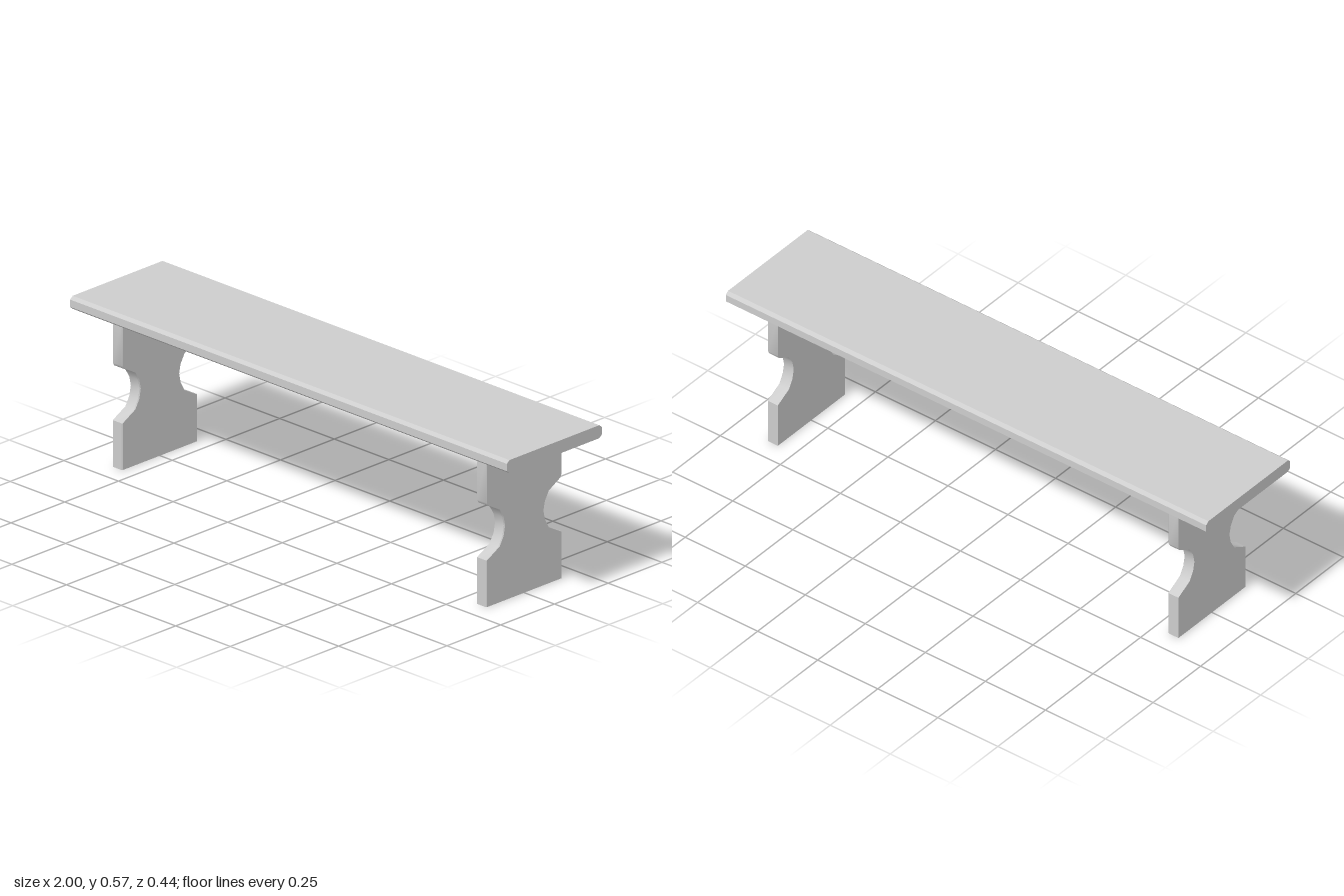
import * as THREE from 'three';
import { toCreasedNormals } from 'three/addons/utils/BufferGeometryUtils.js';

const SEAT_BOTTOM = 0.524, SEAT_TOP = 0.57;

// Extrudes a half outline (z, y; bottom to top), mirrored in z, along x.
function extrudeAlongX(half, x0, x1, steps = 1) {
  const mirrored = half.map(([z, y]) => [-z, y]).reverse();
  const shape = new THREE.Shape([...half, ...mirrored].map(([z, y]) => new THREE.Vector2(z, y)));
  const geometry = new THREE.ExtrudeGeometry(shape, { depth: x1 - x0, steps, bevelEnabled: false });
  return geometry.rotateY(Math.PI / 2).translate(x0, 0, 0);
}

// Waisted leg board with a fine chamfer along its +x edges
function legGeometry(thickness) {
  const half = [
    [0.176, 0], [0.176, 0.165], [0.117, 0.197], [0.099, 0.229], [0.092, 0.263],
    [0.099, 0.296], [0.117, 0.327], [0.17, 0.357], [0.176, 0.368], [0.176, SEAT_BOTTOM],
  ];
  const chamfer = 0.003;
  const geometry = extrudeAlongX(half, 0, thickness, 2);
  const p = geometry.attributes.position;
  for (let i = 0; i < p.count; i++) {
    const x = p.getX(i);
    if (x > thickness * 0.75) p.setZ(i, p.getZ(i) - Math.sign(p.getZ(i)) * chamfer);
    else if (x > thickness * 0.25) p.setX(i, thickness - chamfer);
  }
  return toCreasedNormals(geometry, 0.6);
}

export function createModel() {
  const bench = new THREE.Group();
  bench.name = 'bench';
  const grey = new THREE.MeshStandardMaterial({ color: 0xcccccc });
  grey.name = 'light grey';

  // Seat plank with chamfered long edges
  const cz = 0.012, cy = 0.01, w = 0.221;
  const seat = new THREE.Mesh(extrudeAlongX([
    [w - cz, SEAT_BOTTOM], [w, SEAT_BOTTOM + cy], [w, SEAT_TOP - cy], [w - cz, SEAT_TOP],
  ], -1, 1), grey);
  seat.name = 'seat';
  bench.add(seat);

  // Two identical leg boards
  const board = legGeometry(0.043);
  for (const [name, x] of [['rightLeg', -0.849], ['leftLeg', 0.819]]) {
    const leg = new THREE.Mesh(board, grey);
    leg.name = name;
    leg.position.x = x;
    bench.add(leg);
  }
  return bench;
}
